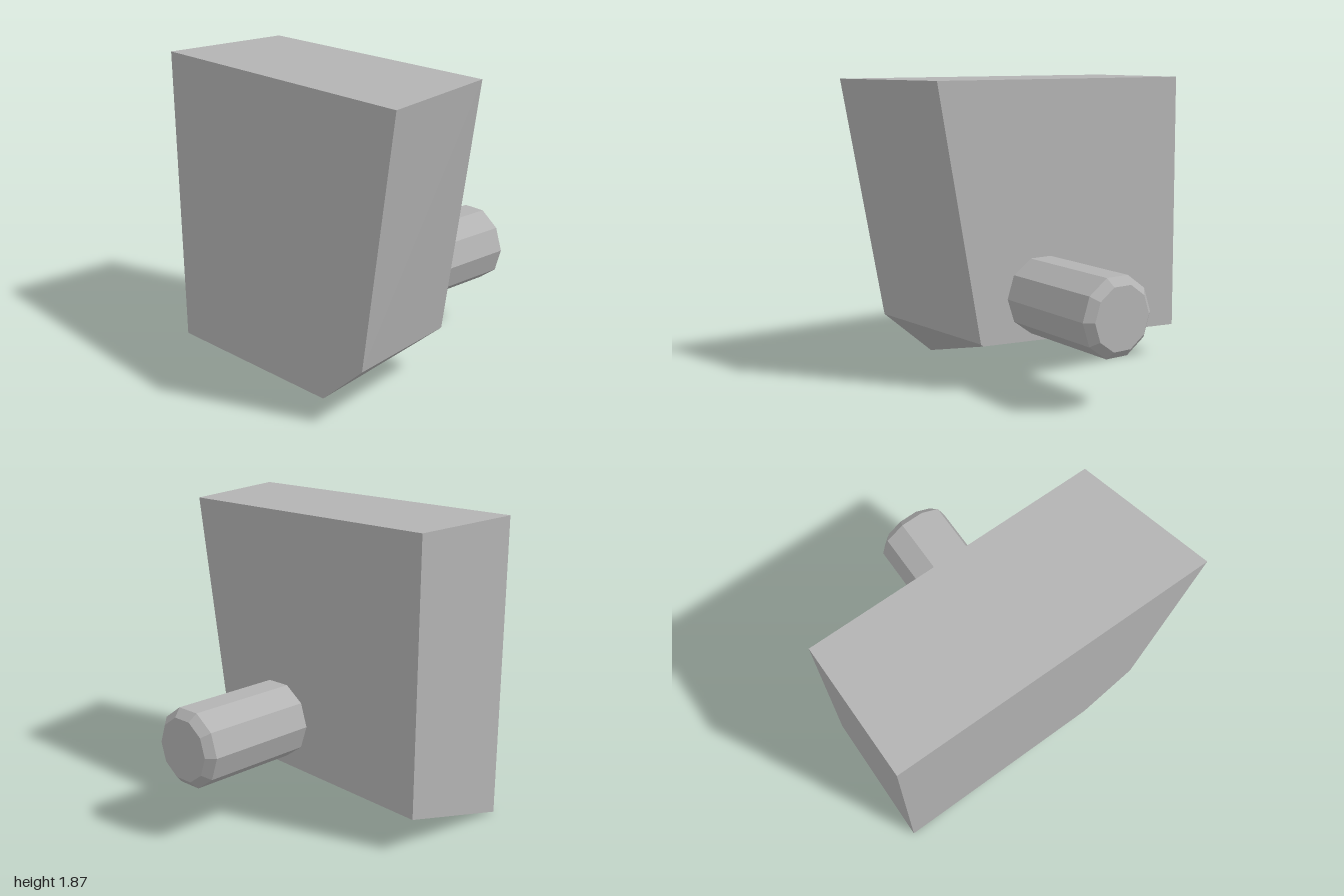
import * as THREE from 'three';

// Solid between two matching outlines, counter-clockwise seen from +z
function loft(front, zFront, back, zBack) {
  const n = front.length, pos = [];
  const tri = (...pts) => pts.forEach(p => pos.push(...p));
  const f = front.map(([x, y]) => [x, y, zFront]);
  const b = back.map(([x, y]) => [x, y, zBack]);
  for (let i = 0; i < n; i++) {
    const j = (i + 1) % n;
    tri(f[i], b[i], b[j]);
    tri(f[i], b[j], f[j]);
    if (i > 0 && i < n - 1) {
      tri(f[0], f[i], f[i + 1]);
      tri(b[0], b[i + 1], b[i]);
    }
  }
  const geo = new THREE.BufferGeometry();
  geo.setAttribute('position', new THREE.Float32BufferAttribute(pos, 3));
  geo.computeVertexNormals();
  return geo;
}

export function createModel() {
  const group = new THREE.Group();
  const grey = new THREE.MeshStandardMaterial({ color: 0xb3b3b3 });
  grey.name = 'grey';
  grey.flatShading = true;
  const add = (name, geo) => {
    const mesh = new THREE.Mesh(geo, grey);
    mesh.name = name;
    group.add(mesh);
    return mesh;
  };

  // Wedge-sided block with a clipped lower corner
  const zBack = -0.017;
  add('block', loft(
    [[-1, 0], [0.4, 0.077], [0.737, 0.37], [1, 1.87], [-1, 1.87]], 0.8,
    [[-1, 0.213], [0.512, 0.296], [0.528, 0.31], [0.802, 1.87], [-1, 1.87]], zBack));

  // Ten-sided peg on the back with a chamfered end
  const r = 0.245, rEnd = 0.195, zChamfer = -0.752, zEnd = -0.8;
  const ring = radius => Array.from({ length: 10 }, (_, i) => {
    const a = i * Math.PI / 5;
    return [0.09 + radius * Math.cos(a), 0.559 + radius * Math.sin(a)];
  });
  add('peg', loft(ring(r), zBack, ring(r), zChamfer));
  add('pegChamfer', loft(ring(r), zChamfer, ring(rEnd), zEnd));

  return group;
}
